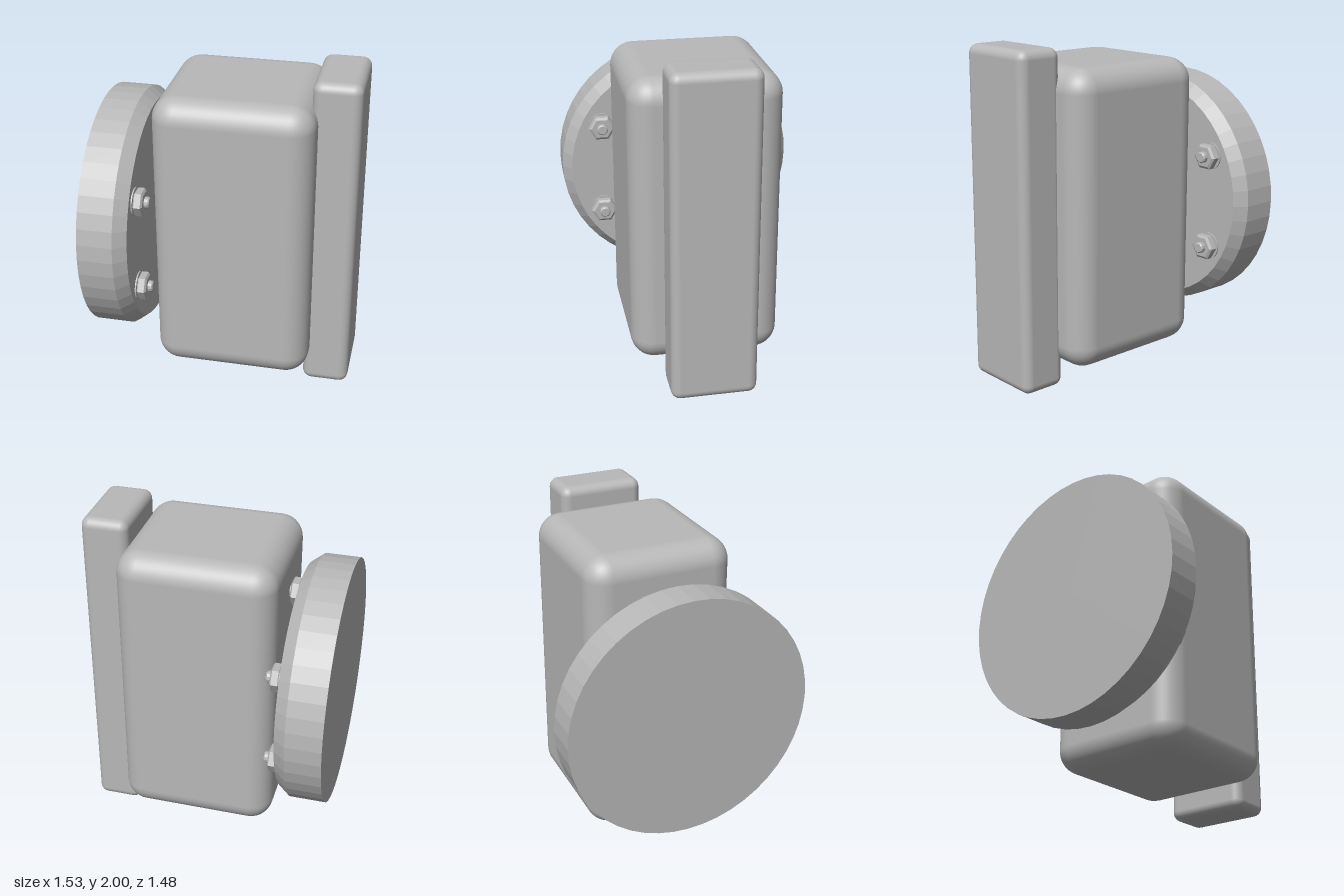
import * as THREE from 'three';
import { RoundedBoxGeometry } from 'three/addons/geometries/RoundedBoxGeometry.js';

const grey = new THREE.MeshStandardMaterial({ color: 0xb8b8b8 });
grey.name = 'plain grey';

function add(parent, name, geometry, x = 0, y = 0, z = 0) {
  const mesh = new THREE.Mesh(geometry, grey);
  mesh.name = name;
  mesh.position.set(x, y, z);
  parent.add(mesh);
}

// Faceted turned solid along +x from [radius, x] points
function turned(points, sides) {
  const lathe = new THREE.LatheGeometry(points.map(([r, x]) => new THREE.Vector2(r, x)), sides);
  const flat = lathe.rotateZ(-Math.PI / 2).toNonIndexed();
  flat.computeVertexNormals();
  return flat;
}

export function createModel() {
  const model = new THREE.Group();
  model.name = 'flangedHousing';
  const centreY = 1.008;

  // Main block and the slim bar on its left side
  add(model, 'housing', new RoundedBoxGeometry(0.936, 1.762, 0.89, 5, 0.14), 0.053, centreY, -0.002);
  add(model, 'sideBar', new RoundedBoxGeometry(0.281, 1.995, 0.514, 4, 0.055), 0.62, 1.002, 0);

  // Round mounting flange with a chamfered rim
  add(model, 'flange', turned([[0, -0.768], [0.738, -0.768], [0.738, -0.558], [0.683, -0.487], [0, -0.487]], 48), 0, centreY, 0);

  // Ring of six bolts, each a washer, a hexagonal nut and a stud
  const washer = turned([[0, 0], [0.083, 0], [0.083, 0.008], [0, 0.008]], 24);
  const nut = turned([[0, 0.008], [0.072, 0.008], [0.082, 0.016], [0.082, 0.053], [0.066, 0.063], [0, 0.063]], 6);
  const stud = turned([[0, 0.06], [0.034, 0.06], [0.034, 0.085], [0.027, 0.092], [0, 0.092]], 12);
  for (let i = 0; i < 6; i++) {
    const angle = (i * Math.PI) / 3;
    const bolt = new THREE.Group();
    bolt.name = 'bolt' + (i + 1);
    bolt.position.set(-0.487, centreY + 0.565 * Math.cos(angle), 0.565 * Math.sin(angle));
    add(bolt, 'washer', washer);
    add(bolt, 'nut', nut);
    add(bolt, 'stud', stud);
    model.add(bolt);
  }
  return model;
}
